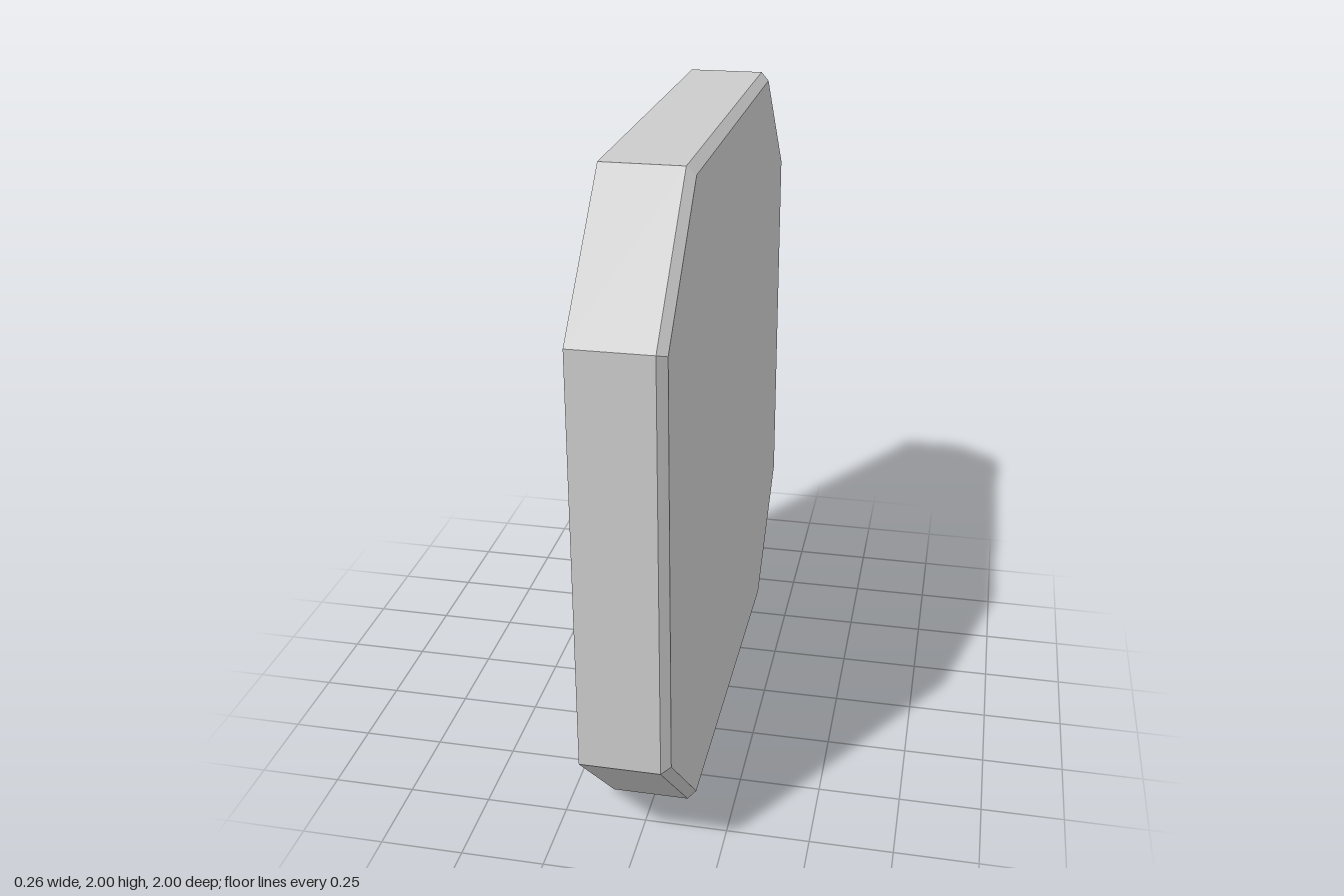
import * as THREE from 'three';

const material = new THREE.MeshStandardMaterial({ color: 0xcccccc, flatShading: true });

// Octagon corners [z, y], with every side moved inward by the same distance.
function octagon(inset) {
  const a = 1 - inset;
  const b = 0.625 - inset * Math.tan(Math.PI / 8);
  return [[a, -b], [a, b], [b, a], [-b, a], [-a, b], [-a, -b], [-b, -a], [b, -a]];
}

// Joins octagonal sections [x, inset] into bands, optionally closing either end.
function sweep(name, sections, { capStart = false, capEnd = false } = {}) {
  const loops = sections.map(([x, inset]) => octagon(inset).map(([z, y]) => [x, y + 1, z]));
  const positions = [];
  const triangle = (a, b, c) => positions.push(...a, ...b, ...c);
  for (let s = 0; s < loops.length - 1; s++) {
    const p = loops[s], q = loops[s + 1];
    for (let i = 0; i < 8; i++) {
      const j = (i + 1) % 8;
      triangle(p[i], q[i], q[j]);
      triangle(p[i], q[j], p[j]);
    }
  }
  const first = loops[0], last = loops[loops.length - 1];
  for (let i = 1; i < 7; i++) {
    if (capStart) triangle(first[0], first[i], first[i + 1]);
    if (capEnd) triangle(last[0], last[i + 1], last[i]);
  }
  const geometry = new THREE.BufferGeometry();
  geometry.setAttribute('position', new THREE.Float32BufferAttribute(positions, 3));
  geometry.computeVertexNormals();
  const mesh = new THREE.Mesh(geometry, material);
  mesh.name = name;
  return mesh;
}

export function createModel() {
  const model = new THREE.Group();
  model.name = 'octagonalLid';
  const open = -0.13, face = 0.13, floor = 0, ridge = -0.045;

  model.add(
    // Recessed floor with a raised ring around the central panel
    sweep('recessedPanelAndRing', [
      [floor, 0.23], [ridge, 0.23], [ridge, 0.187], [floor, 0.187], [floor, 0.075],
    ], { capStart: true }),
    // Inside wall with its bevelled foot, up to the flat rim
    sweep('rim', [[floor, 0.075], [floor - 0.032, 0.044], [open, 0.044], [open, 0]]),
    // Outer wall
    sweep('outerWall', [[open, 0], [face - 0.025, 0]]),
    // Closed face with its bevelled edge
    sweep('facePlate', [[face - 0.025, 0], [face, 0.025]], { capEnd: true })
  );
  return model;
}
